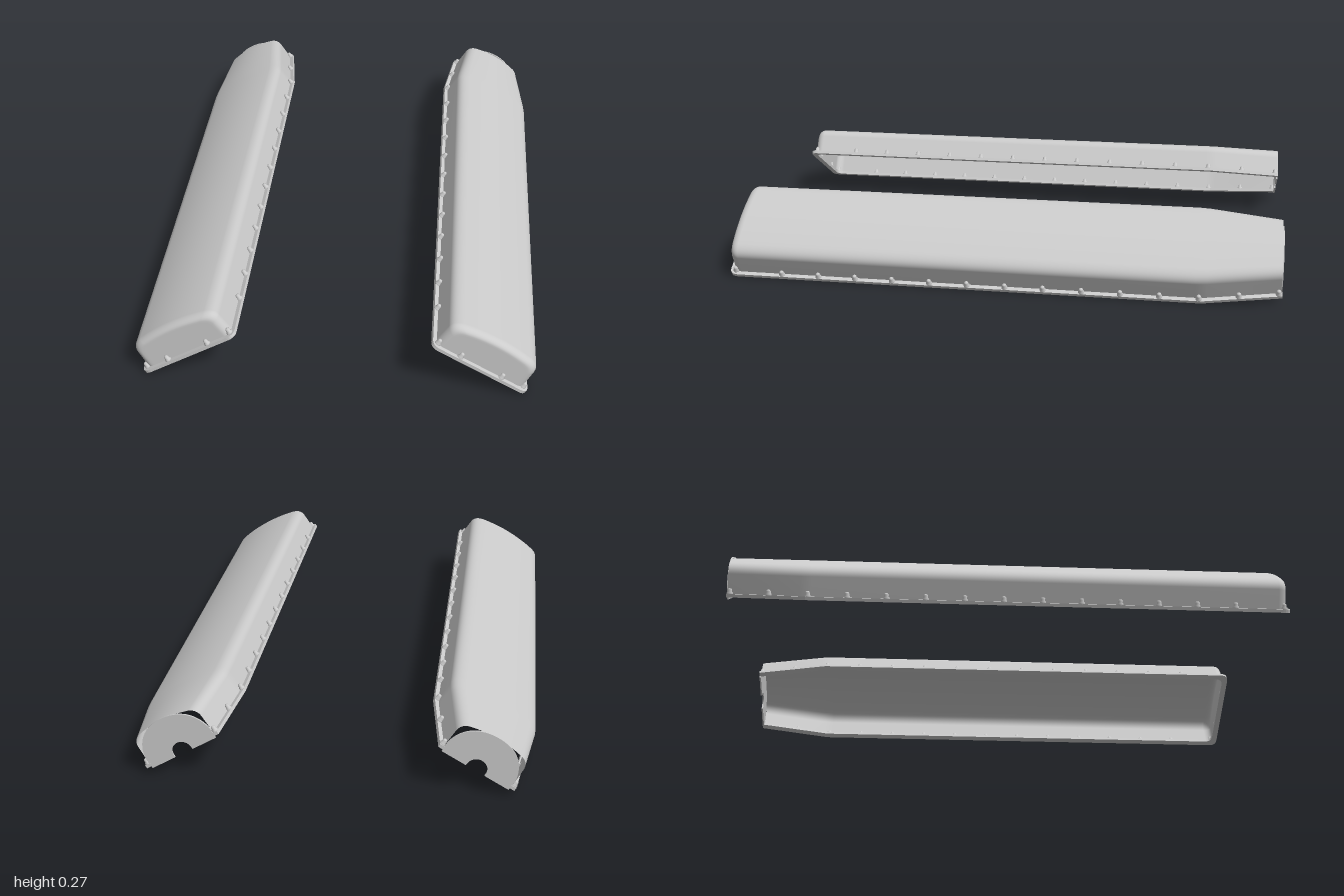
import * as THREE from 'three';

const material = new THREE.MeshStandardMaterial({ color: 0xcccccc, side: THREE.DoubleSide });
const BACK = -0.995, TAPER = -0.72, FRONT = 0.985;

// Half width of the cover at a given z: constant, then narrowing to the back
const halfWidth = z => z > TAPER ? 0.177 : 0.177 - 0.043 * (TAPER - z) / (TAPER - BACK);

function part(name, geometry, parent) {
  const mesh = new THREE.Mesh(geometry, material);
  mesh.name = name;
  parent.add(mesh);
  return mesh;
}

// Cross-section with unit half width: drafted walls, round shoulders, crowned top
function sectionPoints() {
  const s = new THREE.Shape();
  s.moveTo(-1, 0);
  s.lineTo(-0.975, 0.082);
  s.quadraticCurveTo(-0.965, 0.111, -0.75, 0.12);
  s.quadraticCurveTo(0, 0.146, 0.75, 0.12);
  s.quadraticCurveTo(0.965, 0.111, 0.975, 0.082);
  s.lineTo(1, 0);
  return s.getPoints(10);
}

// Lofted shell, open below and at the back, closed by a rounded front
function shellGeometry() {
  const profile = sectionPoints();
  const rings = [[BACK, 1], [-0.86, 1], [TAPER - 0.02, 1], [TAPER + 0.02, 1], [0, 1]];
  for (let i = 0; i <= 6; i++) {
    const a = i / 6 * Math.PI / 2;
    rings.push([FRONT - 0.03 + 0.03 * Math.sin(a), 1 - 0.15 * (1 - Math.cos(a))]);
  }
  rings.push([FRONT, 0.8], [FRONT, 0]);
  const pos = [], index = [], n = profile.length;
  rings.forEach(([z, k]) => profile.forEach(p => pos.push(p.x * halfWidth(z) * k, p.y * k, z)));
  for (let i = 0; i < rings.length - 1; i++) {
    for (let j = 0; j < n - 1; j++) {
      const a = i * n + j, b = a + n;
      index.push(a, b, a + 1, a + 1, b, b + 1);
    }
  }
  const g = new THREE.BufferGeometry();
  g.setAttribute('position', new THREE.Float32BufferAttribute(pos, 3));
  g.setIndex(index);
  g.computeVertexNormals();
  return g;
}

// U-shaped rim, drawn as (x, -z) and laid flat
function flangeGeometry() {
  const outline = (grow, front) => {
    const w = halfWidth(0) + grow, b = halfWidth(BACK) + grow, r = 0.03;
    const s = new THREE.Shape();
    s.moveTo(-b, 1);
    s.lineTo(-w, -TAPER);
    s.lineTo(-w, -front + r);
    s.quadraticCurveTo(-w, -front, -w + r, -front);
    s.lineTo(w - r, -front);
    s.quadraticCurveTo(w, -front, w, -front + r);
    s.lineTo(w, -TAPER);
    s.lineTo(b, 1);
    return s.getPoints(6);
  };
  const shape = new THREE.Shape([...outline(0.014, 1), ...outline(-0.006, 0.978).reverse()]);
  return new THREE.ExtrudeGeometry(shape, { depth: 0.012, bevelEnabled: false }).rotateX(-Math.PI / 2);
}

// Round-topped back plate with a half-round notch in its lower edge
function backPlateGeometry() {
  const s = new THREE.Shape();
  s.moveTo(0.13, -0.008);
  s.lineTo(0.132, 0.03);
  s.bezierCurveTo(0.12, 0.1, 0.07, 0.138, 0, 0.138);
  s.bezierCurveTo(-0.07, 0.138, -0.12, 0.1, -0.132, 0.03);
  s.lineTo(-0.13, -0.008);
  s.lineTo(-0.036, -0.008);
  s.lineTo(-0.036, 0);
  s.absarc(0, 0, 0.036, Math.PI, 0, true);
  s.lineTo(0.036, -0.008);
  return new THREE.ExtrudeGeometry(s, { depth: 0.006, bevelEnabled: false, curveSegments: 16 })
    .translate(0, 0, -0.999);
}

// Small dome-headed bolt
function boltGeometry() {
  const p = [[0.011, 0], [0.011, 0.006], [0.008, 0.008], [0.008, 0.016], [0.005, 0.02], [0, 0.021]];
  return new THREE.LatheGeometry(p.map(([x, y]) => new THREE.Vector2(x, y)), 10);
}

function createCover(name) {
  const cover = new THREE.Group();
  cover.name = name;
  part('coverShell', shellGeometry(), cover);
  part('flange', flangeGeometry(), cover);
  part('backPlate', backPlateGeometry(), cover);

  // Bolts along both sides and across the front
  const bolts = new THREE.Group();
  bolts.name = 'flangeBolts';
  cover.add(bolts);
  const geometry = boltGeometry();
  const addBolt = (x, z) => part('bolt', geometry, bolts).position.set(x, 0.011, z);
  for (const side of [-1, 1]) {
    for (let i = 0; i < 14; i++) {
      const z = 0.8 - i * 0.1375;
      addBolt(side * (halfWidth(z) + 0.004), z);
    }
    addBolt(side * 0.172, 0.977);
    addBolt(side * 0.082, 0.988);
  }
  return cover;
}

export function createModel() {
  const model = new THREE.Group();
  model.name = 'engineCovers';
  // Two mirrored covers, each tilted outwards
  for (const side of [-1, 1]) {
    const cover = createCover(side > 0 ? 'leftCover' : 'rightCover');
    cover.position.set(side * 0.495, 0.099, 0);
    cover.rotation.z = -side * THREE.MathUtils.degToRad(30.5);
    model.add(cover);
  }
  return model;
}
